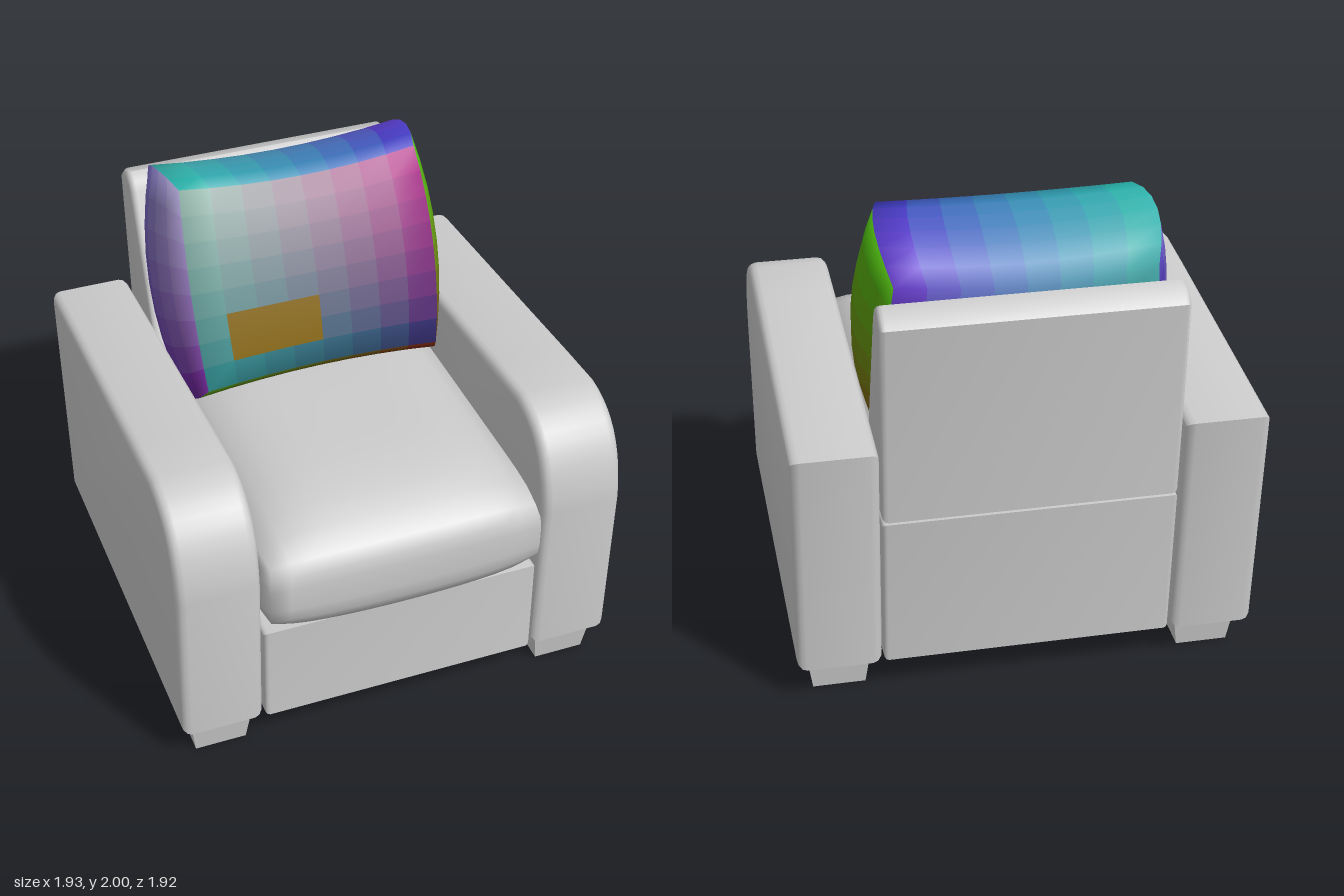
import * as THREE from 'three';
import { mergeVertices, toCreasedNormals } from 'three/addons/utils/BufferGeometryUtils.js';

const grey = new THREE.MeshStandardMaterial({ color: 0xcccccc });

function addMesh(parent, name, geometry, material = grey) {
  const mesh = new THREE.Mesh(geometry, material);
  mesh.name = name;
  parent.add(mesh);
  return mesh;
}

// Upholstered slab: a side profile in (z, y) extruded across x0..x1 with soft edges
function slab(shape, x0, x1, bevel) {
  const width = x1 - x0;
  const geometry = new THREE.ExtrudeGeometry(shape, {
    depth: width - 2 * bevel, bevelThickness: bevel, bevelSize: bevel,
    bevelOffset: -bevel, bevelSegments: 3, curveSegments: 10,
  });
  geometry.rotateY(-Math.PI / 2);
  geometry.translate(x1 - bevel, 0, 0);
  return toCreasedNormals(geometry, 0.7);
}

const profile = (points) => new THREE.Shape(points.map(([z, y]) => new THREE.Vector2(z, y)));

// Padded block: a cube from -1 to 1 whose vertices are moved by a rule
function padded(segments, rule) {
  let geometry = new THREE.BoxGeometry(2, 2, 2, ...segments);
  geometry.deleteAttribute('uv');
  geometry.deleteAttribute('normal');
  geometry = mergeVertices(geometry);
  geometry.clearGroups();
  const pos = geometry.attributes.position;
  for (let i = 0; i < pos.count; i++) {
    pos.setXYZ(i, ...rule(pos.getX(i), pos.getY(i), pos.getZ(i)));
  }
  geometry.computeVertexNormals();
  return geometry;
}

// Gives each quad of a padded block its own blend of the four corner colours of its side
function patchwork(geometry, [nx, ny, nz], sides) {
  const sizes = [[nz, ny], [nz, ny], [nx, nz], [nx, nz], [nx, ny], [nx, ny]];
  const materials = [];
  sizes.forEach(([cols, rows], side) => {
    const [tl, tr, bl, br] = sides[side].map((c) => new THREE.Color(c));
    for (let r = 0; r < rows; r++) {
      for (let c = 0; c < cols; c++) {
        const s = (c + 0.5) / cols, t = (r + 0.5) / rows;
        const color = tl.clone().lerp(tr, s).lerp(bl.clone().lerp(br, s), t);
        // ochre patch low on the front
        if (side === 4 && r >= rows - 3 && r < rows - 1 && c >= 1 && c < cols / 2) color.set(0x8a6a14);
        geometry.addGroup(materials.length * 6, 6, materials.length);
        materials.push(new THREE.MeshStandardMaterial({ color }));
      }
    }
  });
  return materials;
}

export function createModel() {
  const chair = new THREE.Group();
  chair.name = 'armchair';

  // Base with the lower back panel
  const base = profile([[0.9, 0.16], [0.9, 0.62], [-0.5, 0.62], [-0.6, 0.85], [-0.9, 0.85], [-0.845, 0.16]]);
  addMesh(chair, 'base', slab(base, -0.605, 0.605, 0.02));

  // Reclined backrest
  const back = profile([[-0.45, 0.86], [-0.785, 1.74], [-0.81, 1.775], [-0.86, 1.8],
    [-0.92, 1.785], [-0.965, 1.74], [-0.9, 0.86]]);
  addMesh(chair, 'backrest', slab(back, -0.605, 0.605, 0.025));

  // Arms with a rounded front shoulder
  const arm = new THREE.Shape();
  arm.moveTo(-0.86, 0.165);
  arm.lineTo(0.9, 0.165);
  arm.lineTo(0.92, 0.9);
  arm.quadraticCurveTo(0.9, 1.28, 0.6, 1.31);
  arm.lineTo(0.35, 1.295);
  arm.lineTo(-0.945, 1.2);
  addMesh(chair, 'leftArm', slab(arm, 0.612, 0.965, 0.04));
  addMesh(chair, 'rightArm', slab(arm, -0.965, -0.612, 0.04));

  // Crowned seat cushion
  const seat = padded([14, 6, 14], (u, v, w) => {
    const crown = v > 0 ? 0.1 * (1 - u ** 4) * (1 - w ** 4) : 0.03 * (1 - u * u);
    return [
      0.6 * u * (1 - 0.02 * v ** 4) * (1 - 0.02 * w ** 8),
      0.825 + v * (0.185 * (1 - 0.12 * w ** 8) * (1 - 0.12 * u ** 8) + crown),
      0.17 + 0.79 * w * (1 - 0.05 * v ** 4) * (1 - 0.015 * u ** 4),
    ];
  });
  addMesh(chair, 'seatCushion', seat);

  // Plump throw cushion leaning on the backrest
  const segments = [8, 8, 6];
  const pillow = padded(segments, (u, v, w) => [
    u * (0.52 + 0.04 * (1 - w * w) + 0.08 * (1 - v * v) * (1 - 0.7 * w * w)),
    0.51 * v * Math.sqrt(1 - 0.27 * w * w) * (1 - 0.07 * (1 - u * u)),
    0.3 * w * Math.sqrt(1 - 0.27 * v * v) * (1 - 0.08 * u * u),
  ]);
  const colours = [
    [0x45c010, 0x48b80c, 0x7a2010, 0x8a5a10], // left
    [0x4a30c0, 0xa8a0c8, 0x3a10a0, 0x7a10a0], // right
    [0x48b8b0, 0x6a20d0, 0x20b8a8, 0x3a20c0], // top
    [0x4a8a10, 0x7a1010, 0x2a6a20, 0x5a1020], // bottom
    [0x8fb8a8, 0xb8108c, 0x1c8f90, 0x10186c], // front
    [0x6a20d0, 0x48b8b0, 0x3a20b0, 0x309a9a], // back
  ];
  const cushion = addMesh(chair, 'throwCushion', pillow, patchwork(pillow, segments, colours));
  cushion.position.set(0, 1.5, -0.4);
  cushion.rotation.x = -0.36;

  // Square tapered legs
  const legGeometry = new THREE.CylinderGeometry(0.19, 0.156, 0.17, 4).toNonIndexed();
  legGeometry.rotateY(Math.PI / 4);
  legGeometry.computeVertexNormals();
  for (const [end, z] of [['front', 0.72], ['back', -0.64]]) {
    for (const [side, x] of [['Left', 0.785], ['Right', -0.785]]) {
      addMesh(chair, `${end}${side}Leg`, legGeometry).position.set(x, 0.085, z);
    }
  }
  return chair;
}
